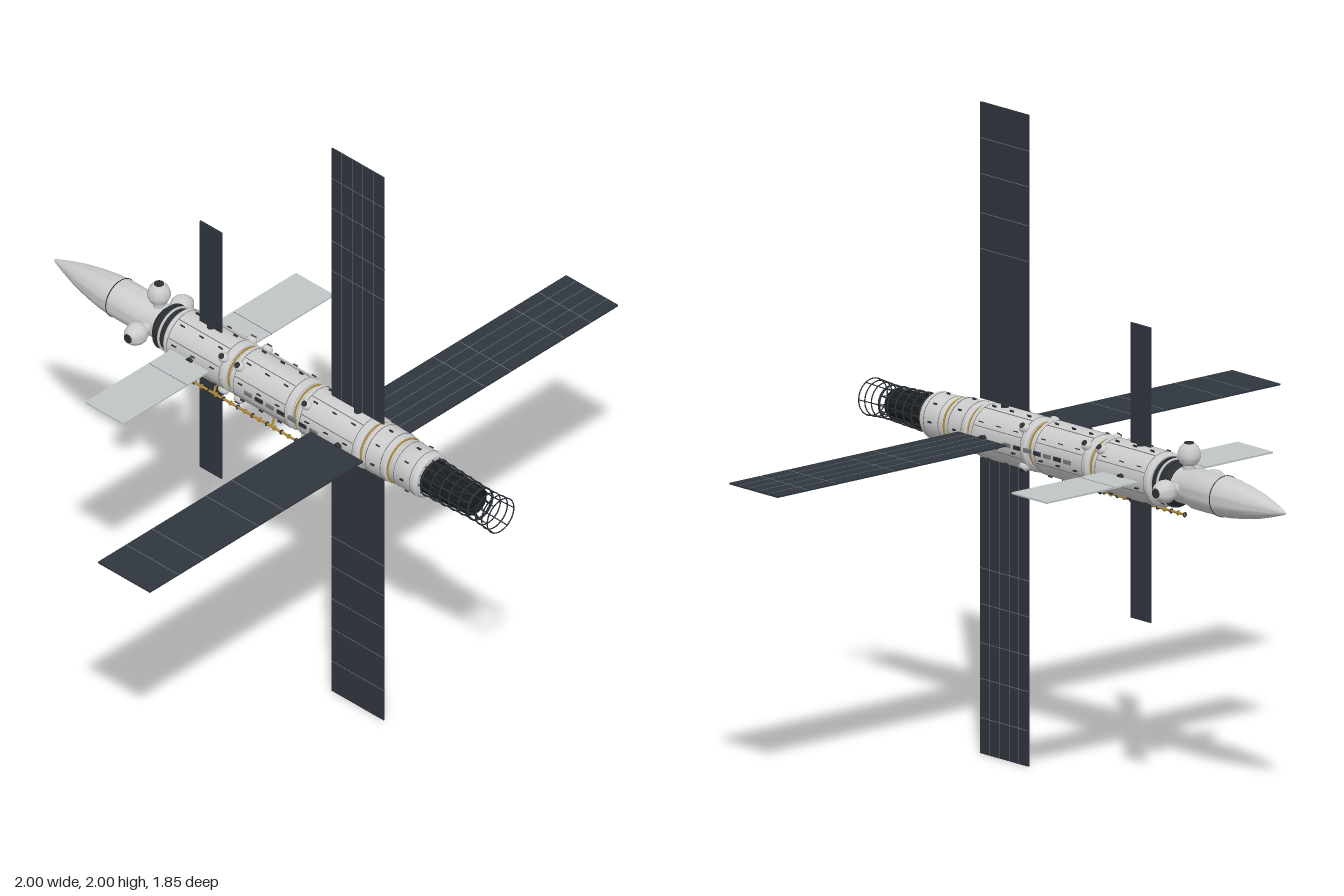
import * as THREE from 'three';
import { toCreasedNormals } from 'three/addons/utils/BufferGeometryUtils.js';

const mat = (color) => new THREE.MeshStandardMaterial({ color });
const grey = mat(0xcccccc), dark = mat(0x2c3136), black = mat(0x181b1e), gold = mat(0xb08a3a);
const panelDark = mat(0x30363d), panelLight = mat(0xbfc5c4), lineMat = mat(0x6c747c), seam = mat(0x777777);

function add(parent, name, geometry, material, x = 0, y = 0, z = 0) {
  const m = new THREE.Mesh(geometry, material);
  m.name = name;
  m.position.set(x, y, z);
  parent.add(m);
  return m;
}
const box = (p, n, m, w, h, d, x, y, z) => add(p, n, new THREE.BoxGeometry(w, h, d), m, x, y, z);

// Turned part about the long axis: points are [radius, z], z ascending
function turned(parent, name, points, material, segments = 40) {
  const g = new THREE.LatheGeometry(points.map(([r, z]) => new THREE.Vector2(r, z)), segments);
  return add(parent, name, toCreasedNormals(g.rotateX(Math.PI / 2), 0.5), material);
}
const ring = (p, n, r, t, z, m) => add(p, n, new THREE.TorusGeometry(r, t, 6, 40), m, 0, 0, z);

// Thin rod between two points
function rod(parent, name, a, b, r, material) {
  const A = new THREE.Vector3(...a), B = new THREE.Vector3(...b);
  const m = add(parent, name, new THREE.CylinderGeometry(r, r, A.distanceTo(B), 6), material);
  m.position.copy(A).add(B).multiplyScalar(0.5);
  m.quaternion.setFromUnitVectors(new THREE.Vector3(0, 1, 0), B.sub(A).normalize());
}

// Group whose +x axis points outward at an angle about the long axis
function radial(parent, name, angle, z) {
  const g = new THREE.Group();
  g.name = name;
  g.rotation.z = angle;
  g.position.z = z;
  parent.add(g);
  return g;
}

// Cylindrical module with bevelled ends, seams, corner thrusters and handrails
function module(parent, name, z0, z1, r, knobs) {
  const g = new THREE.Group();
  g.name = name;
  parent.add(g);
  turned(g, 'moduleHull', [[0, z0], [r - 0.008, z0], [r, z0 + 0.008], [r, z1 - 0.008], [r - 0.008, z1], [0, z1]], grey);
  for (const z of [z0 + 0.022, z1 - 0.022]) ring(g, 'hullSeam', r, 0.0012, z, seam);
  for (let i = 0; i < 8; i++) {
    const s = radial(g, 'hullPanelSeam', Math.PI / 8 + i * Math.PI / 4, (z0 + z1) / 2);
    box(s, 'seamStrip', seam, 0.002, 0.0025, z1 - z0 - 0.05, r, 0, 0);
    for (const k of [-1, 0, 1]) box(s, 'handrail', dark, 0.006, 0.003, 0.016, r + 0.002, 0.014, k * (z1 - z0) * 0.3);
  }
  for (const z of knobs) for (let i = 0; i < 4; i++) {
    const k = radial(g, 'cornerThruster', Math.PI / 4 + i * Math.PI / 2, z);
    const ball = add(k, 'thrusterDome', new THREE.SphereGeometry(0.016, 14, 10), grey, r, 0, 0);
    ball.scale.z = 1.2;
    add(k, 'thrusterPort', new THREE.CylinderGeometry(0.009, 0.009, 0.012, 12).rotateZ(Math.PI / 2), dark, r + 0.011, 0, 0);
  }
}

// Solar wing running outward from r0 to r1, cell lines on its +y face
function wing(parent, name, angle, z, r0, r1, width, material, marks, rows) {
  const g = radial(parent, name, angle, z);
  const len = r1 - r0, t = 0.005, mid = (r0 + r1) / 2;
  box(g, 'wingSheet', material, len, t, width, mid, 0, 0);
  add(g, 'wingRoot', new THREE.CylinderGeometry(0.012, 0.012, 0.03, 12).rotateZ(Math.PI / 2), dark, r0 - 0.008, 0, 0);
  for (const x of marks) box(g, 'wingFold', lineMat, 0.002, t + 0.001, width, x, 0, 0);
  for (let i = 1; i < rows; i++)
    box(g, 'cellLine', lineMat, len, 0.001, 0.0015, mid, t / 2, -width / 2 + (i * width) / rows);
}

export function createModel() {
  const model = new THREE.Group();
  model.name = 'spaceStation';
  const s = new THREE.Group();
  s.name = 'station';
  s.position.y = 1;
  model.add(s);

  // Pointed nose and its straight sleeve
  turned(s, 'noseCone', [[0, -0.925], [0.006, -0.915], [0.021, -0.87], [0.038, -0.81], [0.051, -0.745],
    [0.059, -0.69], [0.062, -0.65]], grey);
  turned(s, 'noseSleeve', [[0.062, -0.65], [0.062, -0.535], [0.055, -0.515], [0.055, -0.45], [0, -0.45]], grey);
  ring(s, 'noseSeam', 0.062, 0.0018, -0.65, dark);

  // Docking pods on both sides and on top
  for (const a of [0, Math.PI / 2, Math.PI]) {
    const p = radial(s, 'dockingPod', a, -0.49);
    const pod = [[0.018, 0.04], [0.018, 0.066], [0.028, 0.073], [0.035, 0.088], [0.035, 0.103], [0.029, 0.12], [0.018, 0.132], [0, 0.132]];
    turned(p, 'podShell', pod, grey, 24).rotation.y = Math.PI / 2;
    add(p, 'podHatch', new THREE.CylinderGeometry(0.015, 0.015, 0.006, 20).rotateZ(Math.PI / 2), dark, 0.132, 0, 0);
  }

  // Dark ribbed neck
  turned(s, 'neck', [[0, -0.465], [0.055, -0.465], [0.068, -0.452], [0.068, -0.395]], dark);
  for (const z of [-0.445, -0.425, -0.407]) ring(s, 'neckRib', 0.07, 0.004, z, z === -0.425 ? grey : dark);

  // Three main modules with two collars between them
  module(s, 'forwardModule', -0.4, -0.14, 0.083, [-0.165]);
  module(s, 'middleModule', -0.125, 0.13, 0.083, [-0.1]);
  module(s, 'rearModule', 0.15, 0.41, 0.083, [0.178]);
  for (const [a, b] of [[-0.14, -0.125], [0.13, 0.15], [0.41, 0.42], [0.52, 0.53]]) {
    turned(s, 'collar', [[0.07, a - 0.003], [0.07, b + 0.003]], grey);
    ring(s, 'goldCollarRing', 0.073, 0.003, (a + b) / 2, gold);
  }

  // Tapered tail sections
  turned(s, 'tailSectionLarge', [[0, 0.42], [0.076, 0.42], [0.08, 0.426], [0.078, 0.515], [0.072, 0.52], [0, 0.52]], grey);
  turned(s, 'tailSectionSmall', [[0, 0.53], [0.07, 0.53], [0.073, 0.536], [0.073, 0.63], [0.066, 0.64], [0, 0.64]], grey);
  for (const [r, z] of [[0.08, 0.44], [0.079, 0.5], [0.073, 0.55], [0.073, 0.615]]) ring(s, 'tailSeam', r, 0.0012, z, seam);
  for (let i = 0; i < 8; i++) for (const [r, z] of [[0.079, 0.47], [0.073, 0.585]])
    box(radial(s, 'tailFitting', i * Math.PI / 4, z), 'fitting', dark, 0.008, 0.005, 0.014, r, 0, 0);

  // Dark core inside the tail truss, hollow at its end
  turned(s, 'tailCore', [[0.054, 0.64], [0.052, 0.7], [0.046, 0.82], [0.04, 0.825], [0.036, 0.8], [0, 0.8]], black);
  for (let i = 0; i < 6; i++) ring(s, 'trussRing', 0.06 - i * 0.0016, 0.0025, 0.65 + i * 0.037, dark);
  const n = 12;
  const at = (r, i, z) => [r * Math.cos(i * 2 * Math.PI / n), r * Math.sin(i * 2 * Math.PI / n), z];
  for (let i = 0; i < n; i++) {
    rod(s, 'trussRod', at(0.06, i, 0.64), at(0.052, i, 0.84), 0.002, dark);
    rod(s, 'trussBrace', at(0.06, i, 0.65), at(0.056, i + 1, 0.74), 0.0013, dark);
    rod(s, 'trussBrace', at(0.056, i + 1, 0.74), at(0.052, i, 0.835), 0.0013, dark);
  }

  // Open end cage
  for (const [r, z] of [[0.052, 0.84], [0.053, 0.87], [0.055, 0.897], [0.057, 0.922]]) ring(s, 'cageRing', r, 0.002, z, dark);
  for (let i = 0; i < n; i += 2) rod(s, 'cageRod', at(0.052, i, 0.84), at(0.057, i, 0.922), 0.0018, dark);

  // Four large dark wings, and four small ones (light at the sides, dark above and below)
  const marks = [[0.43, 0.54, 0.77, 0.88], [0.55, 0.66, 0.78, 0.89], [0.43, 0.54, 0.77, 0.88], [0.43, 0.54, 0.66, 0.77, 0.89]];
  for (let i = 0; i < 4; i++) {
    const a = i * Math.PI / 2;
    wing(s, 'largeSolarWing', a, 0.333, 0.09, 1, 0.215, panelDark, marks[i], 5);
    if (i % 2) wing(s, 'smallSolarWing', a, -0.275, 0.085, 0.453, 0.09, panelDark, [], 1);
    else wing(s, 'lightSolarWing', a, -0.28, 0.085, 0.45, 0.158, panelLight, [0.18], 1);
  }

  // Gold lattice boom slung under the hull
  const boom = new THREE.Group();
  boom.name = 'cargoBoom';
  boom.position.set(-0.045, -0.109, 0);
  s.add(boom);
  rod(boom, 'boomTube', [0, 0, 0.125], [0, 0, -0.42], 0.004, gold);
  for (let i = 0; i < 19; i++) ring(boom, 'boomBand', 0.006, 0.002, 0.12 - i * 0.03, i % 2 ? gold : dark);
  for (const z of [0.02, -0.22]) rod(boom, 'boomMount', [0, 0, z], [0.015, 0.04, z], 0.004, gold);

  // Side equipment strips on the rear and middle modules
  for (const side of [1, -1]) for (let i = 0; i < 7; i++)
    box(s, 'sideEquipment', i % 2 ? dark : seam, 0.008, 0.012, 0.03, side * 0.083, 0, 0.23 - i * 0.045);

  return model;
}
